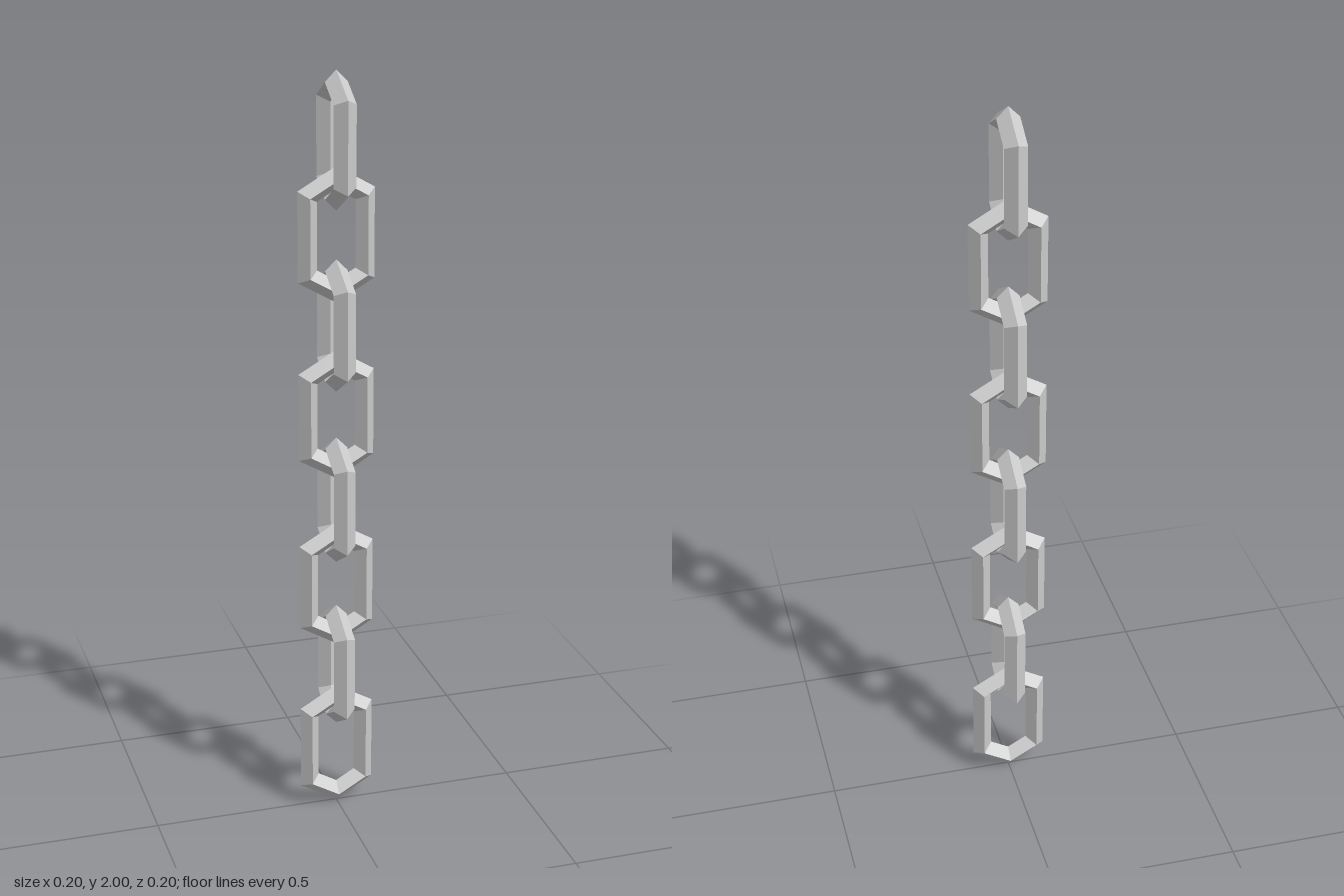
import * as THREE from 'three';

const LINKS = 8;
const HEIGHT = 0.348;                     // height of one link
const PITCH = (2 - HEIGHT) / (LINKS - 1); // distance between link centres
const RING = 0.0866, BAR = 0.029;         // ring radius and bar half thickness

// Six-cornered ring of diamond bar, pulled apart so its sides are longer
function linkGeometry() {
  const geo = new THREE.TorusGeometry(RING, BAR, 4, 6);
  geo.rotateZ(Math.PI / 2);
  const stretch = HEIGHT / 2 - (RING + BAR);
  const pos = geo.attributes.position;
  for (let i = 0; i < pos.count; i++) {
    pos.setY(i, pos.getY(i) + Math.sign(pos.getY(i)) * stretch);
  }
  geo.computeVertexNormals();
  return geo;
}

export function createModel() {
  const group = new THREE.Group();
  group.name = 'chain';
  const material = new THREE.MeshStandardMaterial({ color: 0xcccccc, flatShading: true });
  const geo = linkGeometry();

  // Links stacked upward, every second one turned a quarter
  for (let i = 0; i < LINKS; i++) {
    const link = new THREE.Mesh(geo, material);
    link.name = `chainLink${i + 1}`;
    link.position.y = HEIGHT / 2 + i * PITCH;
    link.rotation.y = (i % 2) * Math.PI / 2;
    group.add(link);
  }
  return group;
}
